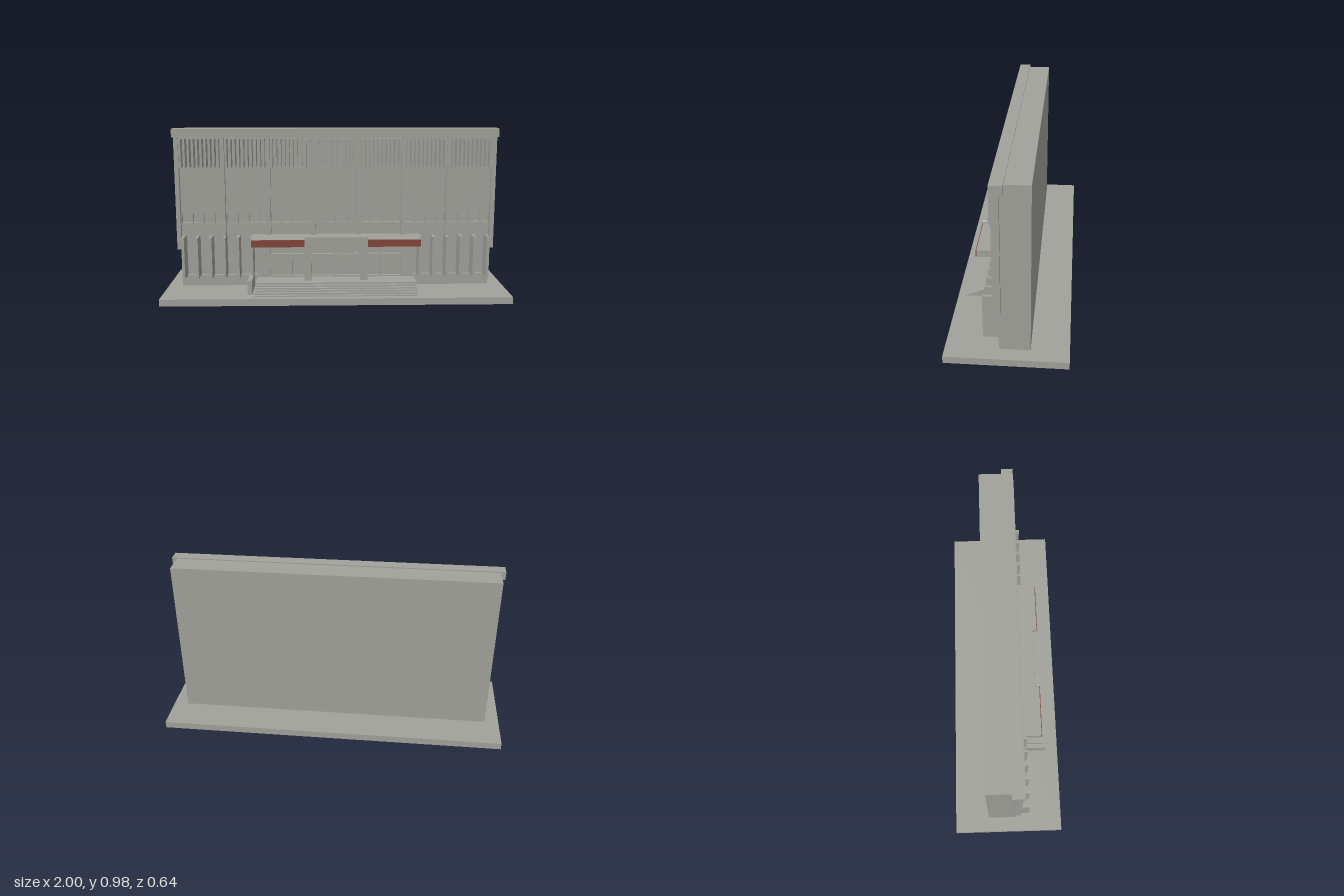
import * as THREE from 'three';

const concrete = new THREE.MeshStandardMaterial({ color: 0xa2a29c });
concrete.name = 'concrete grey';
const red = new THREE.MeshStandardMaterial({ color: 0x84463b });
red.name = 'brick red';

export function createModel() {
  const model = new THREE.Group();
  model.name = 'civicBuilding';

  // box given by its minimum and maximum on each axis
  const box = (name, x0, x1, y0, y1, z0, z1, material = concrete) => {
    const mesh = new THREE.Mesh(new THREE.BoxGeometry(x1 - x0, y1 - y0, z1 - z0), material);
    mesh.position.set((x0 + x1) / 2, (y0 + y1) / 2, (z0 + z1) / 2);
    mesh.name = name;
    model.add(mesh);
    return mesh;
  };
  const rect = (Type, x0, x1, y0, y1) => {
    const r = new Type();
    r.moveTo(x0, y0);
    r.lineTo(x1, y0);
    r.lineTo(x1, y1);
    r.lineTo(x0, y1);
    r.closePath();
    return r;
  };

  // ground slab and main block
  box('groundSlab', -1, 1, 0, 0.04, -0.32, 0.32);
  box('mainBlock', -0.917, 0.917, 0.04, 0.972, -0.12, 0.02);

  // front wall with recessed openings
  const wall = rect(THREE.Shape, -0.917, 0.917, 0.04, 0.935);
  const hole = (x0, x1, y0, y1) => wall.holes.push(rect(THREE.Path, x0, x1, y0, y1));
  const bay = 0.2637;
  for (let i = 0; i < 7; i++) {
    const left = -0.923 + bay * i;
    hole(left + 0.016, left + bay - 0.016, 0.757, 0.918);
    for (let j = 0; j < 4; j++) {
      const x = left + 0.016 + j * 0.0655;
      hole(x, Math.min(x + 0.05, left + bay - 0.014), 0.424, 0.48);
    }
  }
  for (const s of [-1, 1]) {
    // wing recesses behind the fins
    hole(Math.min(s * 0.905, s * 0.465), Math.max(s * 0.905, s * 0.465), 0.105, 0.345);
    // entrance glazing, with a transom light over each pane
    for (const [a, b] of [[0.01, 0.14], [0.19, 0.262], [0.272, 0.392]]) {
      const x0 = Math.min(s * a, s * b), x1 = Math.max(s * a, s * b);
      hole(x0, x1, 0.098, 0.219);
      hole(x0, x1, 0.231, 0.3);
    }
  }
  const wallMesh = new THREE.Mesh(
    new THREE.ExtrudeGeometry(wall, { depth: 0.022, bevelEnabled: false }), concrete);
  wallMesh.position.z = 0.02;
  wallMesh.name = 'frontWall';
  model.add(wallMesh);

  // tall pilasters and cornice
  for (let i = 0; i < 8; i++) {
    const x = -0.923 + bay * i;
    box('pilaster', x - 0.0125, x + 0.0125, 0.27, 0.935, 0.03, 0.07);
  }
  box('cornice', -0.945, 0.945, 0.93, 0.978, 0.01, 0.077);

  // sunshade slats below the cornice
  for (let i = 0; i < 7; i++) {
    for (let j = 0; j < 10; j++) {
      const x = -0.923 + bay * i + 0.023 + j * 0.0242;
      box('sunshadeSlat', x - 0.0065, x + 0.0065, 0.753, 0.92, 0.02, 0.082);
    }
  }

  // vertical fins on both ground floor wings
  for (const s of [-1, 1]) {
    for (let i = 0; i < 6; i++) {
      const x = s * (0.894 - i * 0.08);
      box('wingFin', x - 0.008, x + 0.008, 0.102, 0.348, 0.02, 0.124);
    }
  }

  // porch floor, columns and canopy
  box('porchFloor', -0.47, 0.467, 0.04, 0.09, 0.04, 0.13);
  for (const x of [-0.165, 0.165]) {
    box('porchColumn', x - 0.021, x + 0.021, 0.09, 0.315, 0.09, 0.125);
  }
  box('canopy', -0.487, 0.485, 0.313, 0.354, 0.04, 0.208);
  box('canopyFascia', -0.487, 0.485, 0.313, 0.354, 0.208, 0.212, red);

  // blank sign board with clipped corners
  const sign = new THREE.Shape();
  const c = 0.008;
  sign.moveTo(-0.183 + c, 0.3);
  sign.lineTo(0.18 - c, 0.3);
  sign.lineTo(0.18, 0.3 + c);
  sign.lineTo(0.18, 0.37 - c);
  sign.lineTo(0.18 - c, 0.37);
  sign.lineTo(-0.183 + c, 0.37);
  sign.lineTo(-0.183, 0.37 - c);
  sign.lineTo(-0.183, 0.3 + c);
  sign.closePath();
  const signMesh = new THREE.Mesh(
    new THREE.ExtrudeGeometry(sign, { depth: 0.032, bevelEnabled: false }), concrete);
  signMesh.position.z = 0.184;
  signMesh.name = 'signBoard';
  model.add(signMesh);

  // entrance stairs and the single side wall
  for (let i = 0; i < 6; i++) {
    box('stairStep', -0.47, 0.467, 0.04, 0.046 + i * 0.0088, 0.12, 0.28 - i * 0.0215);
  }
  box('stairSideWall', -0.51, -0.485, 0.04, 0.122, 0.042, 0.24);

  return model;
}
